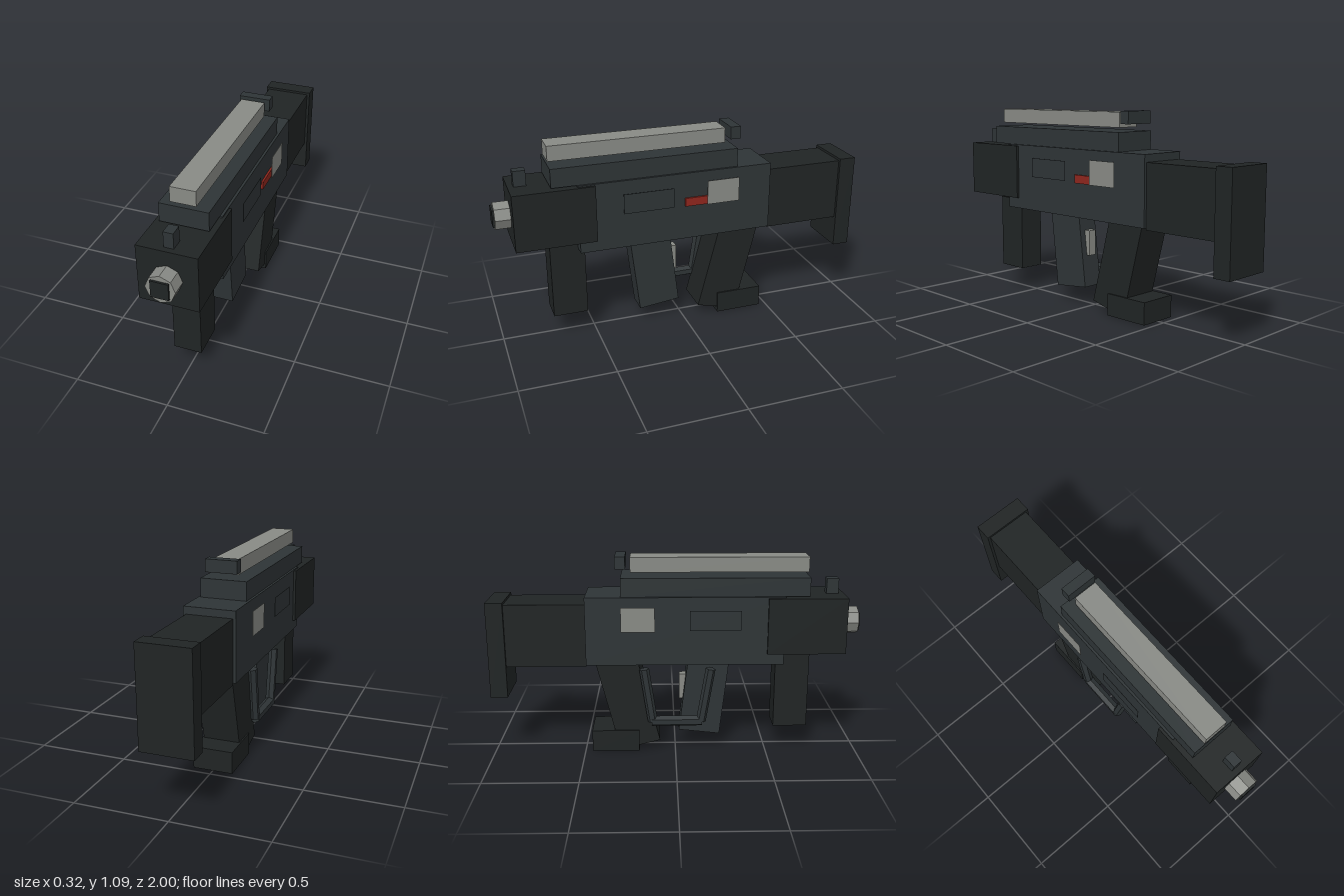
import * as THREE from 'three';

const mat = (color) => new THREE.MeshStandardMaterial({ color, flatShading: true });

export function createModel() {
  const group = new THREE.Group();
  const slate = mat(0x2e3436), dark = mat(0x202424), grey = mat(0x888a85), red = mat(0x8f261d);

  const add = (name, geometry, material) => {
    const mesh = new THREE.Mesh(geometry, material);
    mesh.name = name;
    group.add(mesh);
    return mesh;
  };

  // Box given by its extents on each axis
  const box = (name, material, [x0, x1], [y0, y1], [z0, z1]) =>
    add(name, new THREE.BoxGeometry(x1 - x0, y1 - y0, z1 - z0), material)
      .position.set((x0 + x1) / 2, (y0 + y1) / 2, (z0 + z1) / 2);
  const centred = (name, material, half, y, z) => box(name, material, [-half, half], y, z);

  // Side profile of [z, y] points, extruded across x
  const profile = (name, material, half, points) => {
    const shape = new THREE.Shape(points.map(([z, y]) => new THREE.Vector2(z, y)));
    const geometry = new THREE.ExtrudeGeometry(shape, { depth: half * 2, bevelEnabled: false });
    geometry.translate(0, 0, -half).rotateY(-Math.PI / 2);
    add(name, geometry, material);
  };

  // Straight rod between two points
  const rod = (name, material, a, b, radius, sides) => {
    const from = new THREE.Vector3(...a), to = new THREE.Vector3(...b);
    const dir = to.clone().sub(from);
    const mesh = add(name, new THREE.CylinderGeometry(radius, radius, dir.length(), sides), material);
    mesh.position.copy(from).add(to).multiplyScalar(0.5);
    mesh.quaternion.setFromUnitVectors(new THREE.Vector3(0, 1, 0), dir.normalize());
  };

  // Main body, from the front block to the shoulder plate
  centred('receiver', slate, 0.138, [0.51, 0.88], [-0.48, 0.58]);
  centred('frontBlock', dark, 0.152, [0.57, 0.873], [0.49, 0.91]);
  centred('stock', dark, 0.123, [0.5, 0.84], [-0.91, -0.48]);
  centred('shoulderPlate', dark, 0.138, [0.33, 0.853], [-1, -0.908]);

  // Upper housing, rail and sights
  centred('upperHousing', slate, 0.125, [0.88, 0.98], [-0.29, 0.71]);
  centred('topRail', grey, 0.065, [1.0, 1.08], [-0.24, 0.71]);
  centred('rearSight', slate, 0.085, [1.02, 1.087], [-0.32, -0.265]);
  centred('frontSight', slate, 0.025, [0.87, 0.955], [0.815, 0.88]);

  // Barrel
  rod('barrel', grey, [0, 0.722, 0.9], [0, 0.722, 0.99], 0.075, 8);
  centred('bore', dark, 0.045, [0.677, 0.767], [0.9, 1.0]);

  // Grips and magazine
  centred('foreGrip', dark, 0.074, [0.13, 0.55], [0.545, 0.73]);
  profile('magazine', slate, 0.06, [[0.299, 0.55], [0.245, 0.08], [0.02, 0.105], [0.074, 0.55]]);
  profile('rearGrip', dark, 0.1, [[-0.215, 0.56], [-0.085, 0.06], [-0.305, 0.005], [-0.445, 0.56]]);
  centred('gripFoot', dark, 0.108, [0, 0.12], [-0.46, -0.2]);
  centred('trigger', grey, 0.025, [0.28, 0.42], [0.022, 0.075]);

  // Guard rods on the right side
  const gx = -0.114;
  rod('guardRear', slate, [gx, 0.48, -0.17], [gx, 0.18, -0.125], 0.027, 6);
  rod('guardFront', slate, [gx, 0.48, 0.19], [gx, 0.18, 0.14], 0.027, 6);
  rod('guardBottom', slate, [gx, 0.18, -0.13], [gx, 0.18, 0.145], 0.029, 6);

  // Thin side panels, mirrored, and the red switch
  for (const s of [-1, 1]) {
    const side = [s * 0.157 - 0.001, s * 0.157 + 0.001];
    box('greyPanel', grey, side, [0.698, 0.83], [-0.29, -0.11]);
    box('darkPanel', slate, side, [0.705, 0.812], [0.075, 0.348]);
  }
  box('redSwitch', red, [0.12, 0.149], [0.698, 0.743], [-0.175, 0.01]);

  return group;
}
